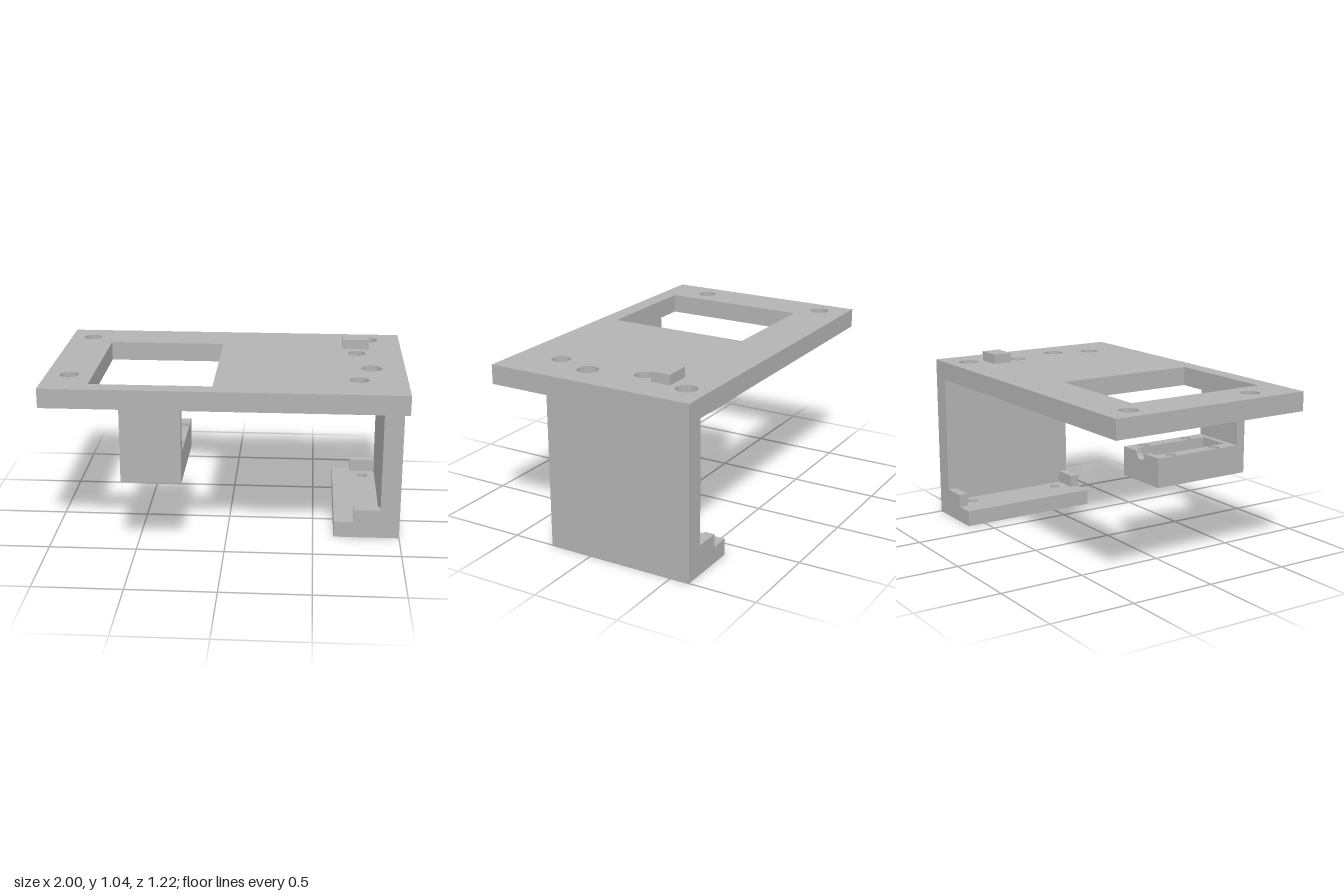
import * as THREE from 'three';

const grey = new THREE.MeshStandardMaterial({ color: 0xb3b3b3 });
grey.name = 'light grey';

// Closed shape on the ground plane from [x, z] corners
const outline = (pts) => new THREE.Shape(pts.map(([x, z]) => new THREE.Vector2(x, -z)));
const rect = (x0, x1, z0, z1) => outline([[x0, z1], [x1, z1], [x1, z0], [x0, z0]]);

export function createModel() {
  const group = new THREE.Group();

  const add = (name, geometry) => {
    const mesh = new THREE.Mesh(geometry, grey);
    mesh.name = name;
    group.add(mesh);
  };

  const box = (name, x0, x1, y0, y1, z0, z1) => {
    const g = new THREE.BoxGeometry(x1 - x0, y1 - y0, z1 - z0);
    g.translate((x0 + x1) / 2, (y0 + y1) / 2, (z0 + z1) / 2);
    add(name, g);
  };

  // Horizontal slab from y0 to y1 with round holes given as [x, z, radius]
  const slab = (name, shape, y0, y1, holes) => {
    for (const [x, z, r] of holes) {
      const hole = new THREE.Path();
      hole.absarc(x, -z, r, 0, Math.PI * 2, true);
      shape.holes.push(hole);
    }
    const g = new THREE.ExtrudeGeometry(shape, { depth: y1 - y0, bevelEnabled: false, curveSegments: 16 });
    g.rotateX(-Math.PI / 2);
    g.translate(0, y0, 0);
    add(name, g);
  };

  // Top plate with a rectangular window and mounting holes
  const plate = rect(-1, 1, -0.612, 0.612);
  plate.holes.push(rect(-0.737, -0.06, -0.338, 0.512));
  slab('topPlate', plate, 0.873, 0.983, [
    [-0.87, -0.448, 0.053], [-0.87, 0.345, 0.053],
    [0.735, 0.345, 0.053], [0.735, -0.185, 0.053],
    [0.81, -0.485, 0.059], [0.81, 0.12, 0.059],
  ]);
  box('topNub', 0.657, 0.81, 0.983, 1.04, -0.387, -0.273);

  // Side wall, foot and the small stop at each end of the foot
  box('sideWall', 0.887, 1, 0, 0.873, -0.612, 0.255);
  slab('foot', rect(0.62, 0.887, -0.612, 0.255), 0, 0.095, [[0.81, -0.485, 0.033], [0.81, 0.12, 0.033]]);
  for (const z of [-0.612, 0.2]) box('footStop', 0.735, 0.887, 0.095, 0.17, z, z + 0.055);

  // Hanging bracket: front wall, drilled floor and a rim around a pocket
  const [x0, x1, zBack, zFront] = [-0.567, -0.23, -0.04, 0.512];
  const [p0, p1, pBack, pFront] = [-0.496, -0.303, -0.005, 0.48];
  const [yBase, yFloor, yRim] = [0.437, 0.52, 0.605];
  const screws = [];
  for (const x of [-0.53, -0.267]) for (const z of [0.072, 0.373]) screws.push([x, z, 0.032]);

  box('bracketWall', x0, x1, yBase, 0.873, zFront, 0.567);
  slab('bracketFloor', rect(x0, x1, zBack, zFront), yBase, yFloor, screws);
  slab('bracketRim', outline([
    [x0, zFront], [x1, zFront], [x1, pBack], [p1, pBack],
    [p1, pFront], [p0, pFront], [p0, pBack], [x0, pBack],
  ]), yFloor, yRim, screws);

  // Back of the rim with a round cable notch
  const back = new THREE.Shape();
  back.moveTo(x0, yFloor);
  back.lineTo(x1, yFloor);
  back.lineTo(x1, yRim);
  back.absarc(-0.398, yRim, 0.042, 0, Math.PI, true);
  back.lineTo(x0, yRim);
  back.closePath();
  const backGeometry = new THREE.ExtrudeGeometry(back, { depth: pBack - zBack, bevelEnabled: false, curveSegments: 8 });
  backGeometry.translate(0, 0, zBack);
  add('bracketRimBack', backGeometry);

  return group;
}
